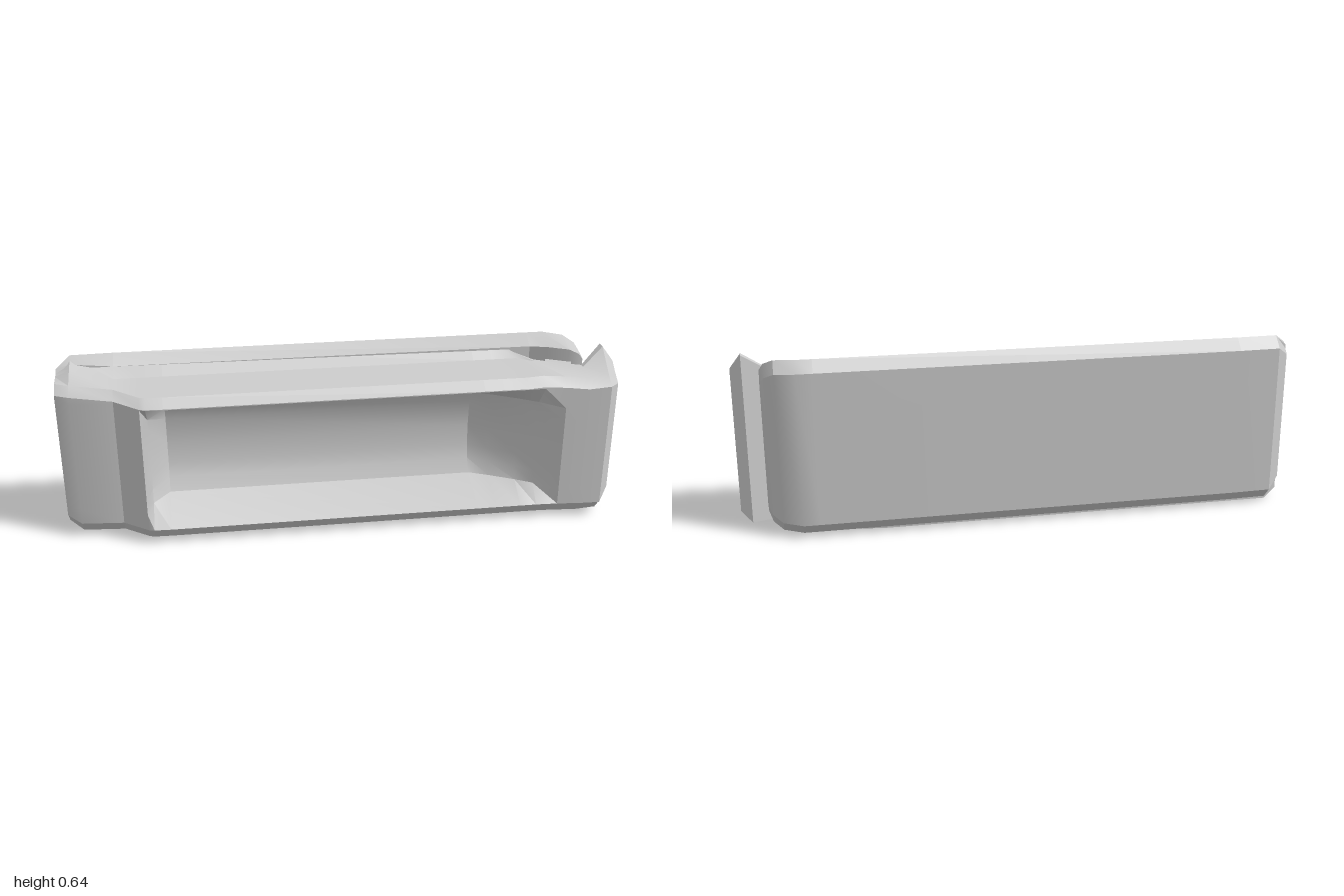
import * as THREE from 'three';
import { toCreasedNormals } from 'three/addons/utils/BufferGeometryUtils.js';

const material = new THREE.MeshStandardMaterial({ color: 0xcccccc });

// Skins closed [z, y] rings placed at successive x, and caps both ends
function loft(name, stations, section) {
  const rings = stations.map((s) => section(s).map(([z, y]) => [s.x, y, z]));
  const n = rings[0].length;
  const pos = rings.flat(2);
  const index = [];
  for (let i = 0; i < rings.length - 1; i++) {
    for (let j = 0; j < n; j++) {
      const a = i * n + j, b = i * n + (j + 1) % n;
      index.push(a, a + n, b, b, a + n, b + n);
    }
  }
  for (const end of [0, rings.length - 1]) {
    const c = pos.length / 3;
    for (let k = 0; k < 3; k++) pos.push(rings[end].reduce((t, p) => t + p[k], 0) / n);
    for (let j = 0; j < n; j++) {
      const a = end * n + j, b = end * n + (j + 1) % n;
      if (end) index.push(c, b, a);
      else index.push(c, a, b);
    }
  }
  const g = new THREE.BufferGeometry();
  g.setAttribute('position', new THREE.Float32BufferAttribute(pos, 3));
  g.setIndex(index);
  const mesh = new THREE.Mesh(toCreasedNormals(g, 0.45), material);
  mesh.name = name;
  return mesh;
}

// Tray section: back edge b rising to the plate, step at s, front f, recess back r
function traySection({ b, f, r = f, s = -0.04, top = 0.575, back = top, y0 = 0.003, slope = 0.1 }) {
  const shoulder = top - slope * (f - 0.04 - s);
  const yf = shoulder - 0.028;
  const lower = Math.max(0.06, y0 + 0.05);
  const z = (k) => f + (r - f) * k;
  return [
    [b, y0], [f - 0.04, y0 + 0.009], [f - 0.008, y0 + 0.047], [z(0), lower],
    [z(0.8), 0.12], [z(0.92), 0.17], [z(0.98), 0.22], [z(1), 0.3],
    [z(0.97), 0.4], [z(0.85), 0.45], [z(0), Math.min(0.53, yf - 0.003)], [f, yf],
    [f - 0.04, shoulder], [s, top], [b, back],
  ];
}

// Back plate section with chamfered rear edges and a top falling to the front
function plateSection({ zb, zf, inset = 0, drop = 0.035 }) {
  const y0 = 0.003 + inset, y1 = 0.642 - inset, c = Math.min(0.04, (zf - zb) / 2);
  return [
    [zb + c, y0 + 0.008], [zf, y0], [zf, y1 - drop],
    [zb + c, y1], [zb, y1 - 0.04], [zb, y0 + 0.05],
  ];
}

export function createModel() {
  const group = new THREE.Group();
  group.name = 'pocketTray';

  // Front tray, thinning on the right into an arm that stands off the plate
  group.add(loft('frontTray', [
    { x: -1, b: -0.1, f: 0.04, s: -0.05, top: 0.59, back: 0.6, y0: 0.035 },
    { x: -0.95, b: -0.12, f: 0.065, s: -0.05, top: 0.615, back: 0.638, slope: 0.4 },
    { x: -0.8, b: -0.12, f: 0.078, back: 0.638 },
    { x: -0.71, b: -0.12, f: 0.145, back: 0.638 },
    { x: -0.69, b: -0.12, f: 0.15, r: 0.03, back: 0.638 },
    { x: -0.63, b: -0.12, f: 0.152, r: -0.07, back: 0.638 },
    { x: 0.5, b: -0.12, f: 0.152, r: -0.07, back: 0.638 },
    { x: 0.57, b: -0.11, f: 0.152, r: -0.03, back: 0.63 },
    { x: 0.66, b: -0.06, f: 0.152, r: 0.03, back: 0.59 },
    { x: 0.72, b: -0.02, f: 0.152, r: 0.075, s: 0 },
    { x: 0.8, b: 0.02, f: 0.155, s: 0.04, top: 0.573, slope: 0.2 },
    { x: 0.88, b: 0.05, f: 0.163, s: 0.07, top: 0.572, slope: 0.4 },
    { x: 0.96, b: 0.005, f: 0.165, s: 0.035, top: 0.634, y0: 0.01, slope: 0.85 },
    { x: 1, b: 0.025, f: 0.12, s: 0.045, top: 0.58, y0: 0.05, slope: 0.85 },
  ], traySection));

  // Back plate, rounded at both ends and curling forward past the slot
  group.add(loft('backPlate', [
    { x: -1, zb: -0.115, zf: -0.05, inset: 0.035 },
    { x: -0.95, zb: -0.16, zf: -0.08, drop: 0.02 },
    { x: -0.8, zb: -0.165, zf: -0.08 },
    { x: 0.72, zb: -0.165, zf: -0.07 },
    { x: 0.78, zb: -0.165, zf: -0.04, drop: 0.03 },
    { x: 0.85, zb: -0.135, zf: -0.005, inset: 0.005, drop: 0.025 },
    { x: 0.885, zb: -0.1, zf: 0.005, inset: 0.025, drop: 0.02 },
    { x: 0.9, zb: -0.06, zf: 0.005, inset: 0.055, drop: 0.01 },
  ], plateSection));

  // Web joining the arm to the plate inside the slot
  const web = new THREE.Mesh(
    toCreasedNormals(new THREE.CylinderGeometry(0.05, 0.06, 0.53, 8), 0.45), material);
  web.name = 'slotWeb';
  web.scale.z = 1.2;
  web.position.set(0.81, 0.3, 0);
  group.add(web);

  return group;
}
